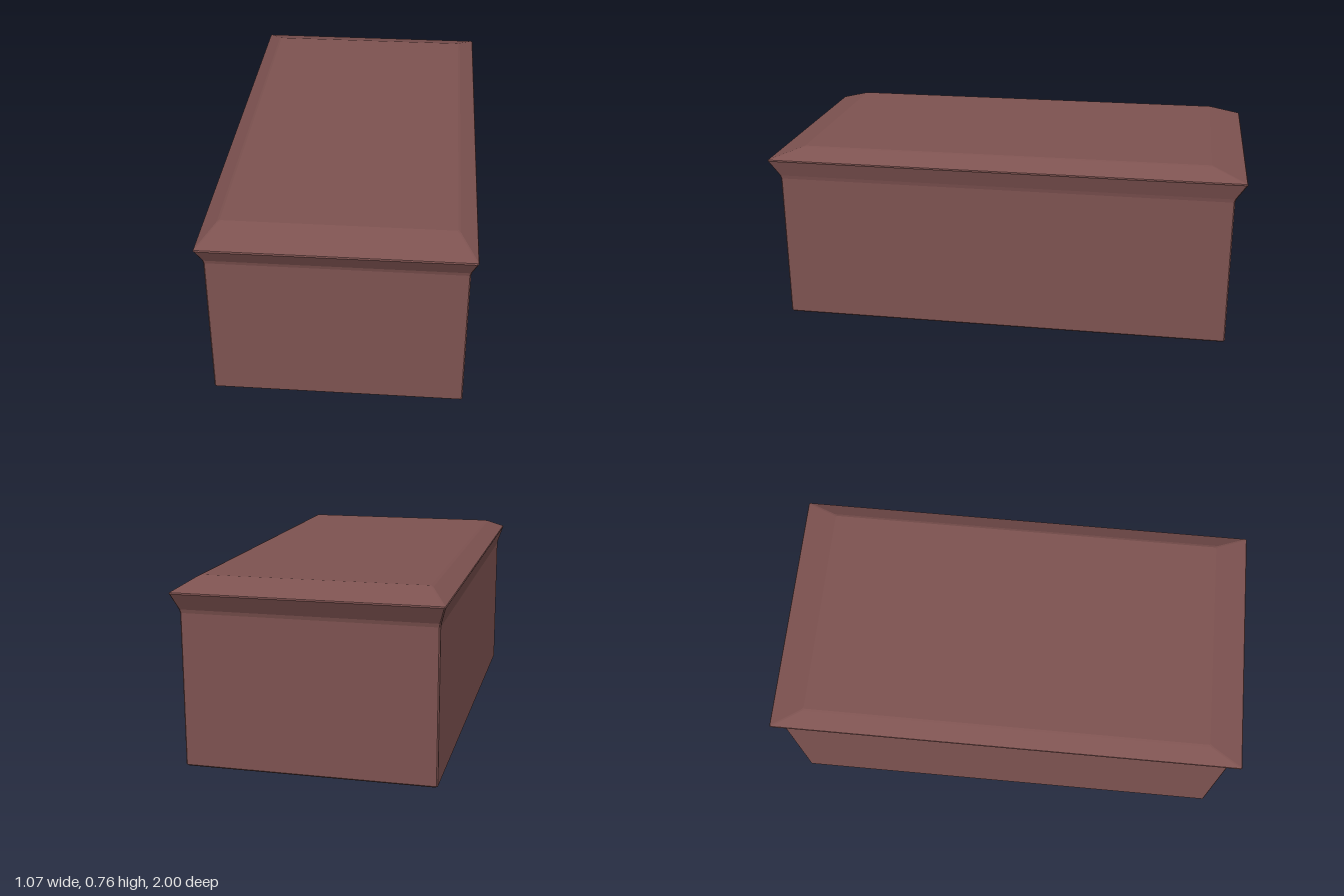
import * as THREE from 'three';

// Rectangle outline with slightly bevelled corners, counterclockwise seen from above
function outline([hx, hz, y, b = 0.005]) {
  return [
    [hx, hz - b], [hx, b - hz], [hx - b, -hz], [b - hx, -hz],
    [-hx, b - hz], [-hx, hz - b], [b - hx, hz], [hx - b, hz],
  ].map(([x, z]) => new THREE.Vector3(x, y, z));
}

// Skin a stack of outlines, closing the chosen ends
function loft(sections, capBottom, capTop) {
  const rings = sections.map(outline);
  const points = [];
  const n = rings[0].length;
  for (let r = 0; r < rings.length - 1; r++) {
    for (let i = 0; i < n; i++) {
      const j = (i + 1) % n;
      const [a, b, c, d] = [rings[r][i], rings[r][j], rings[r + 1][j], rings[r + 1][i]];
      points.push(a, b, c, a, c, d);
    }
  }
  const low = rings[0], high = rings[rings.length - 1];
  for (let i = 1; i < n - 1; i++) {
    if (capBottom) points.push(low[0], low[i + 1], low[i]);
    if (capTop) points.push(high[0], high[i], high[i + 1]);
  }
  const geometry = new THREE.BufferGeometry().setFromPoints(points);
  geometry.computeVertexNormals();
  return geometry;
}

export function createModel() {
  const group = new THREE.Group();
  group.name = 'lippedBlock';
  const material = new THREE.MeshStandardMaterial({ color: 0x7d5250 });
  const add = (name, geometry) => {
    const mesh = new THREE.Mesh(geometry, material);
    mesh.name = name;
    group.add(mesh);
  };

  // Straight-sided body with a softened bottom edge
  add('body', loft([
    [0.504, 0.949, 0],
    [0.51, 0.955, 0.006],
    [0.51, 0.955, 0.63],
  ], true, false));

  // Flared lip and sloping top border around a flat panel
  add('lid', loft([
    [0.51, 0.955, 0.63],
    [0.513, 0.959, 0.645],
    [0.533, 0.998, 0.71],
    [0.535, 1, 0.713],
    [0.533, 0.997, 0.718],
    [0.466, 0.868, 0.761],
    [0.456, 0.856, 0.765],
  ], false, true));

  return group;
}
